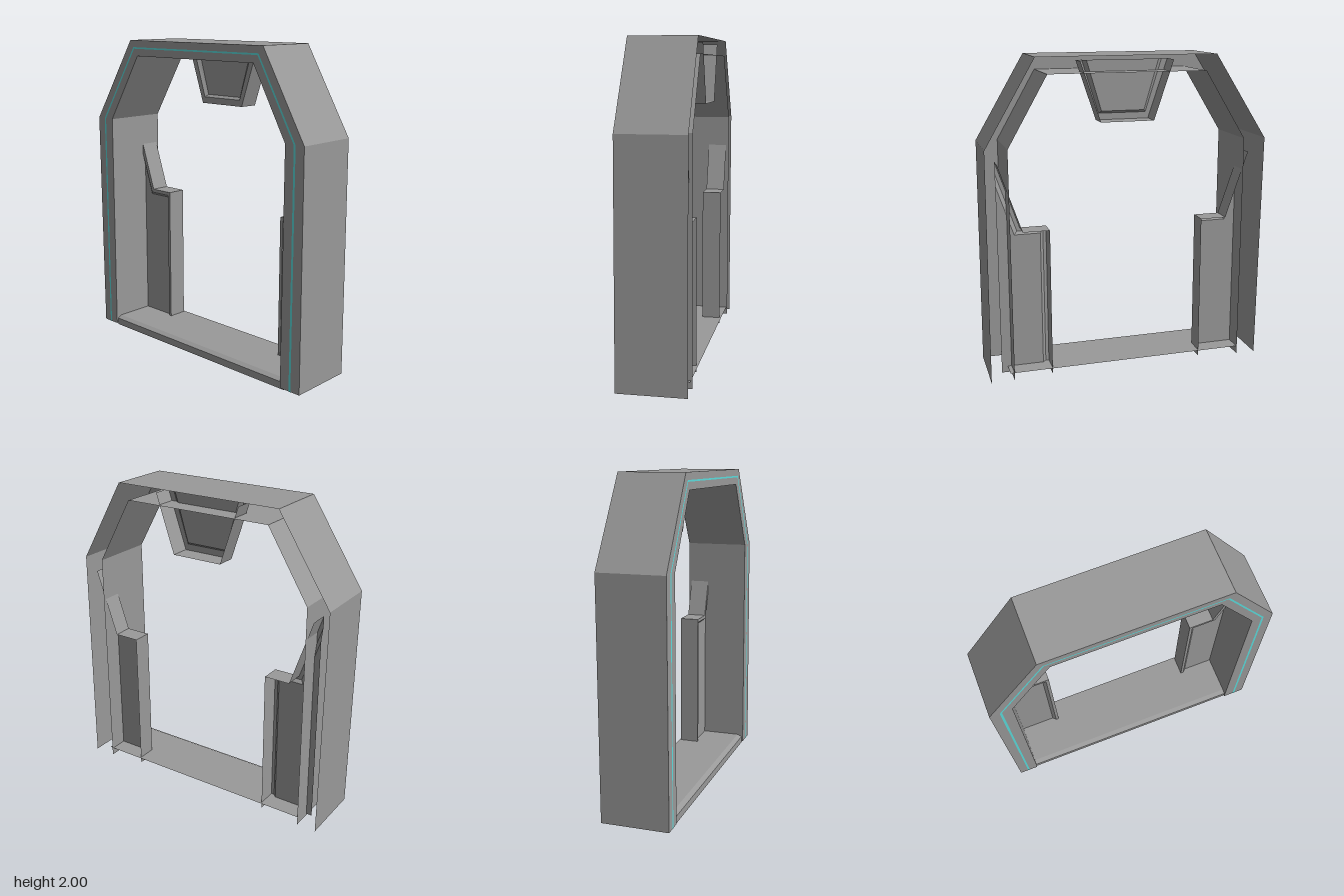
import * as THREE from 'three';

const hull = new THREE.MeshStandardMaterial({ color: 0x999999, side: THREE.DoubleSide });
hull.name = 'hull grey';
const glow = new THREE.MeshStandardMaterial({ color: 0x5cdcdc, side: THREE.DoubleSide });
glow.name = 'light cyan';

// Sheet of flat quads through rows of equally many [x, y, z] points
function sheet(name, material, rows) {
  const v = [];
  for (let r = 0; r < rows.length - 1; r++) {
    for (let i = 0; i < rows[r].length - 1; i++) {
      const a = rows[r][i], b = rows[r][i + 1], c = rows[r + 1][i + 1], d = rows[r + 1][i];
      v.push(...a, ...d, ...c, ...a, ...c, ...b);
    }
  }
  const g = new THREE.BufferGeometry();
  g.setAttribute('position', new THREE.Float32BufferAttribute(v, 3));
  g.computeVertexNormals();
  const mesh = new THREE.Mesh(g, material);
  mesh.name = name;
  return mesh;
}

const at = (points, z) => points.map(([x, y]) => [x, y, z]);

// Open-backed panel: side walls, flat rim, chamfer and a sunken face filled to the anchor points
function panel(name, outer, rim, inner, anchor) {
  const front = -0.065, back = -0.19, sunk = -0.085;
  const g = new THREE.Group();
  g.name = name;
  g.add(
    sheet(name + 'Walls', hull, [at(outer, back), at(outer, front)]),
    sheet(name + 'Rim', hull, [at(outer, front), at(rim, front)]),
    sheet(name + 'Chamfer', hull, [at(rim, front), at(inner, sunk)]),
    sheet(name + 'Face', hull, [at(inner, sunk), at(anchor, sunk)]),
  );
  return g;
}

export function createModel() {
  const model = new THREE.Group();
  model.name = 'archway';

  // Arch: outer skin, inner skin and front face, open at the back
  const outer = [[-0.88, 0.01], [-0.895, 1.47], [-0.555, 2], [0.57, 2], [0.88, 1.47], [0.89, 0.01]];
  const inner = [[-0.755, 0.01], [-0.755, 1.47], [-0.49, 1.9], [0.5, 1.9], [0.745, 1.47], [0.745, 0.01]];
  const frontZ = [0.21, 0.205, 0.2, 0.2, 0.205, 0.21];
  const onFront = (points, lift = 0) => points.map(([x, y], i) => [x, y, frontZ[i] + lift]);
  model.add(
    sheet('outerSkin', hull, [at(outer, -0.208), onFront(outer)]),
    sheet('frontFace', hull, [onFront(outer), onFront(inner)]),
    sheet('innerSkin', hull, [onFront(inner), at(inner, -0.208)]),
  );

  // Thin light line along the middle of the front face
  const between = (t) => outer.map(([x, y], i) => [x + (inner[i][0] - x) * t, y + (inner[i][1] - y) * t]);
  model.add(sheet('lightLine', glow, [onFront(between(0.44), 0.0015), onFront(between(0.54), 0.0015)]));

  // Floor plate with bevelled front sill
  const sill = [[0, 0.2], [0.045, 0.2], [0.06, 0.17], [0.06, -0.2]];
  model.add(sheet('floor', hull, sill.map(([y, z]) => [[-0.755, y, z], [0.77, y, z]])));

  // Side consoles, mirrored about x = 0.0075, reaching into the hollow arch
  for (const side of [-1, 1]) {
    const place = (points) => points.map(([x, y]) => [0.0075 + side * x, y]);
    model.add(panel(side < 0 ? 'rightConsole' : 'leftConsole',
      place([[0.4925, 0.02], [0.4925, 0.96], [0.6575, 0.96], [0.8, 1.38]]),
      place([[0.5125, 0.02], [0.5125, 0.938], [0.675, 0.938], [0.8, 1.307]]),
      place([[0.5325, 0.02], [0.5325, 0.92], [0.695, 0.92], [0.8, 1.23]]),
      place([[0.8, 0.02], [0.8, 0.92], [0.8, 0.92], [0.8, 1.23]])));
  }

  // Overhead panel hanging from the arch
  const hang = (top, bottom, y) => [[-top, 1.97], [-bottom, y], [bottom, y], [top, 1.97]]
    .map(([x, h]) => [x + 0.0075, h]);
  model.add(panel('overheadPanel',
    hang(0.291, 0.1675, 1.605), hang(0.253, 0.15, 1.645), hang(0.228, 0.136, 1.66),
    hang(0, 0, 1.97)));

  return model;
}
